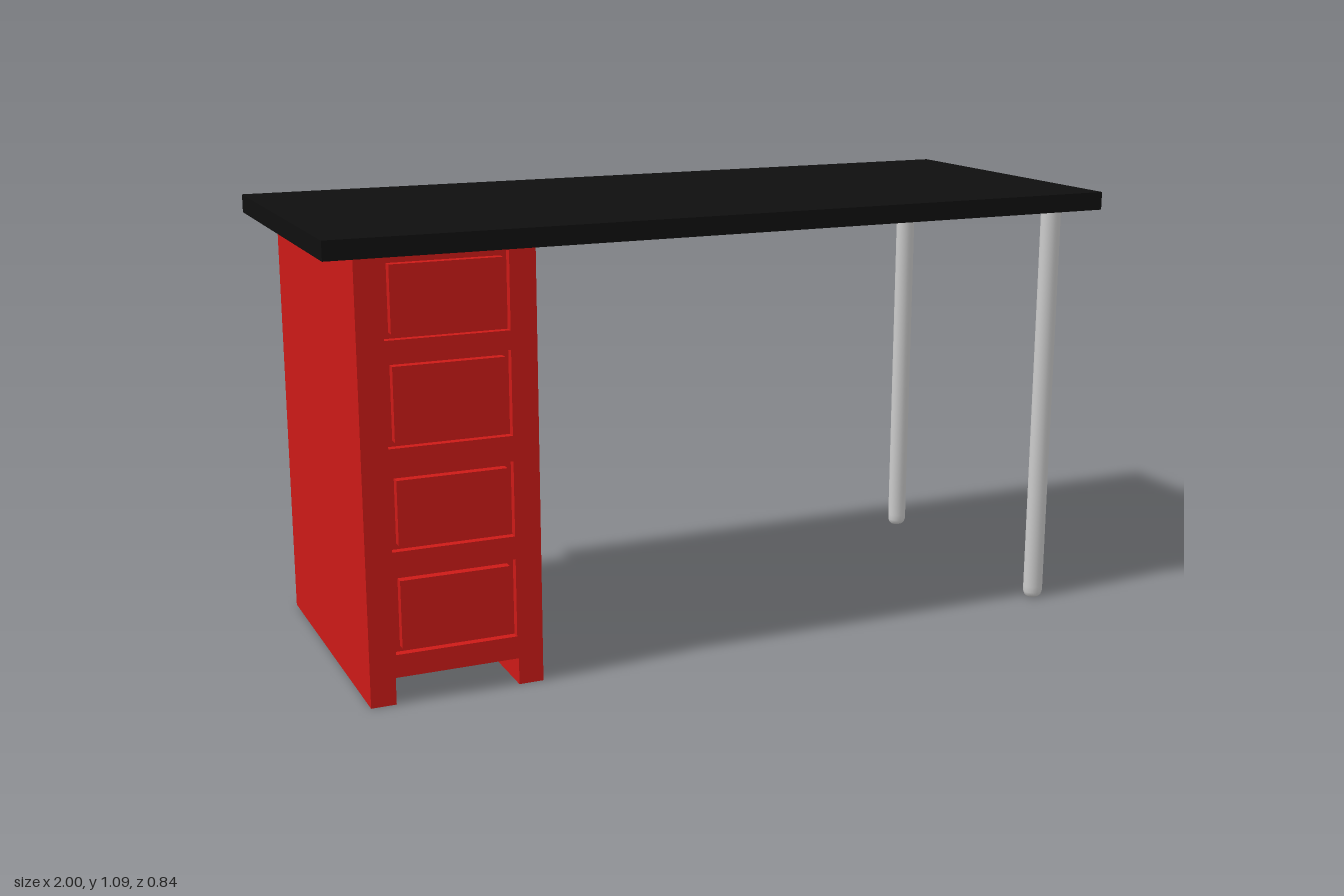
import * as THREE from 'three';

const red = new THREE.MeshStandardMaterial({ color: 0xcc1a17 });
const black = new THREE.MeshStandardMaterial({ color: 0x0f0f0f });
const purple = new THREE.MeshStandardMaterial({ color: 0x3c0a38 });
const grey = new THREE.MeshStandardMaterial({ color: 0xcccccc });

// Box given by its minimum and maximum corners
function box(name, material, [x0, y0, z0], [x1, y1, z1]) {
  const mesh = new THREE.Mesh(new THREE.BoxGeometry(x1 - x0, y1 - y0, z1 - z0), material);
  mesh.name = name;
  mesh.position.set((x0 + x1) / 2, (y0 + y1) / 2, (z0 + z1) / 2);
  return mesh;
}

function rectangle(path, x0, y0, x1, y1) {
  return path.moveTo(x0, y0).lineTo(x1, y0).lineTo(x1, y1).lineTo(x0, y1).closePath();
}

function createCabinet() {
  const cabinet = new THREE.Group();
  cabinet.name = 'drawerCabinet';
  const left = -0.508, right = -0.925, wall = 0.06;
  const inL = left - wall, inR = right + wall;
  const top = 1.04, floor = 0.065, back = -0.375, front = 0.38;

  cabinet.add(
    box('rightSidePanel', red, [right, 0, back], [inR, top, front]),
    box('leftSidePanel', red, [inL, 0, back], [left, top, front]),
    // Carcass, set in from the back edges of the side panels
    box('cabinetBody', red, [inR, floor, back + 0.05], [inL, top, front - 0.02]),
    // Thin mounting plate under the worktop
    box('mountingPlate', purple, [right, top - 0.003, back - 0.03], [left, top + 0.003, back + 0.05]),
  );

  // Front frame with one opening per drawer
  const drawers = [[0.12, 0.31], [0.365, 0.545], [0.605, 0.805], [0.85, 1.032]];
  const frame = rectangle(new THREE.Shape(), inR, floor, inL, top);
  for (const [y0, y1] of drawers) {
    frame.holes.push(rectangle(new THREE.Path(), inR + 0.003, y0, inL - 0.003, y1));
  }
  const frameMesh = new THREE.Mesh(
    new THREE.ExtrudeGeometry(frame, { depth: 0.02, bevelEnabled: false }), red);
  frameMesh.name = 'frontFrame';
  frameMesh.position.z = front - 0.02;
  cabinet.add(frameMesh);

  // Drawer fronts standing in the openings
  drawers.forEach(([y0, y1], i) => {
    cabinet.add(box('drawerFront' + (i + 1), red,
      [inR + 0.018, y0 + 0.014, front - 0.02], [inL - 0.018, y1 - 0.014, front + 0.002]));
  });
  return cabinet;
}

export function createModel() {
  const desk = new THREE.Group();
  desk.name = 'desk';
  desk.add(box('worktop', black, [-1, 1.04, -0.42], [1, 1.085, 0.42]), createCabinet());

  // Slightly oval legs with rounded feet
  const profile = [[0, 0], [0.014, 0.001], [0.019, 0.006], [0.0215, 0.015], [0.022, 0.03], [0.022, 1.04]]
    .map(([r, y]) => new THREE.Vector2(r, y));
  const legGeometry = new THREE.LatheGeometry(profile, 24);
  for (const [name, z] of [['frontLeg', 0.357], ['backLeg', -0.35]]) {
    const leg = new THREE.Mesh(legGeometry, grey);
    leg.name = name;
    leg.scale.x = 1.2;
    leg.position.set(0.892, 0, z);
    desk.add(leg);
  }
  return desk;
}
